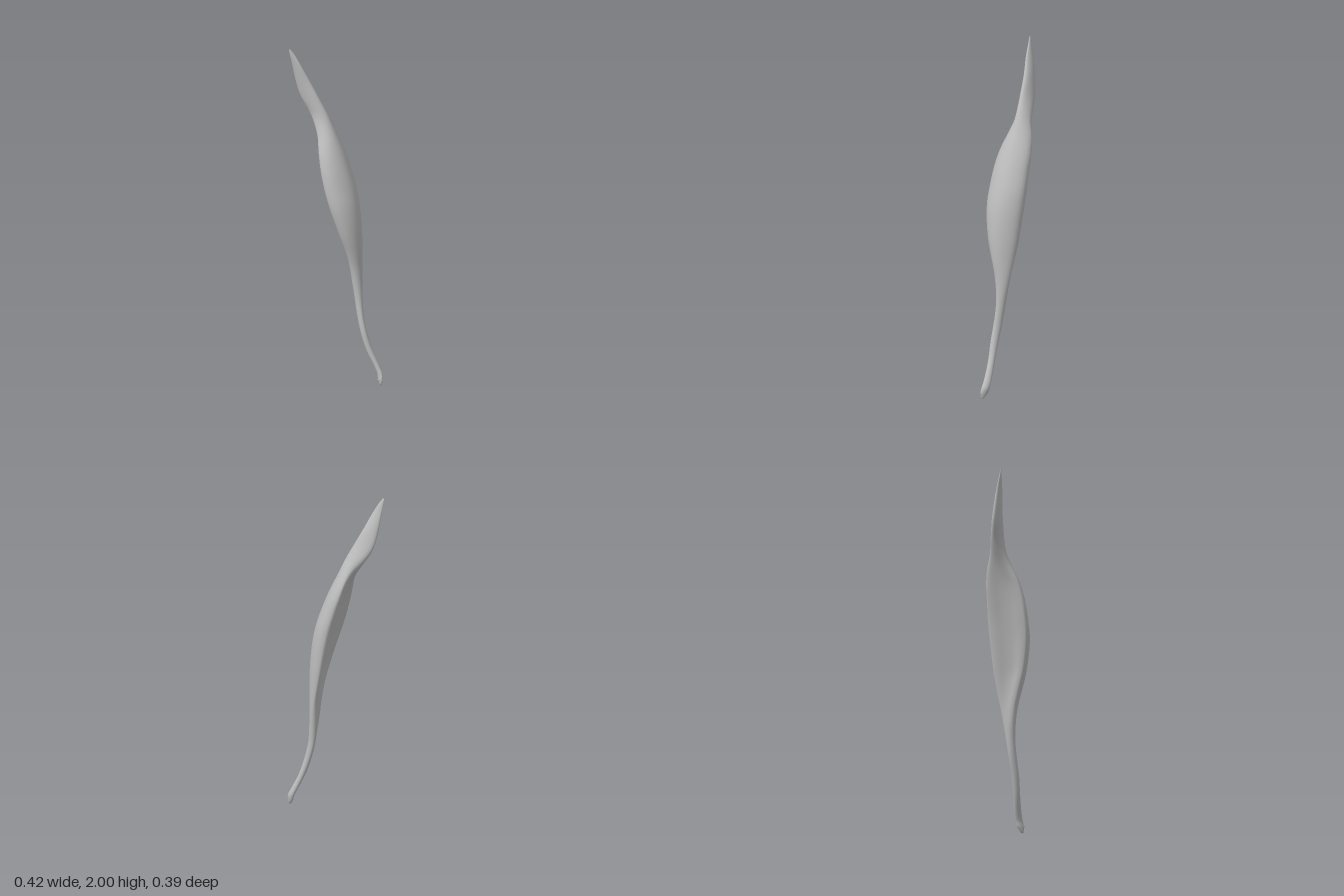
import * as THREE from 'three';

// Height, x range, z range, and how far the section is cupped (0 oval, 1 crescent)
const ROWS = [
  [0.0, 0.187, 0.199, 0.178, 0.192, 0],
  [0.03, 0.182, 0.207, 0.155, 0.198, 0],
  [0.06, 0.18, 0.21, 0.145, 0.192, 0],
  [0.1, 0.168, 0.2, 0.132, 0.176, 0],
  [0.2, 0.13, 0.167, 0.105, 0.144, 0],
  [0.3, 0.107, 0.143, 0.08, 0.125, 0],
  [0.4, 0.095, 0.131, 0.055, 0.105, 0],
  [0.5, 0.086, 0.132, 0.037, 0.091, 0.1],
  [0.6, 0.073, 0.137, 0.019, 0.089, 0.3],
  [0.7, 0.057, 0.14, 0.0, 0.096, 0.6],
  [0.8, 0.03, 0.141, -0.02, 0.11, 0.85],
  [0.9, -0.007, 0.141, -0.038, 0.12, 1],
  [1.0, -0.04, 0.138, -0.056, 0.122, 1],
  [1.1, -0.07, 0.132, -0.074, 0.114, 1],
  [1.2, -0.09, 0.12, -0.092, 0.092, 1],
  [1.3, -0.101, 0.097, -0.11, 0.065, 1],
  [1.4, -0.1, 0.07, -0.132, 0.03, 0.95],
  [1.5, -0.088, 0.033, -0.156, -0.01, 0.7],
  [1.6, -0.1, -0.01, -0.177, -0.05, 0.25],
  [1.7, -0.143, -0.058, -0.191, -0.09, 0],
  [1.8, -0.17, -0.102, -0.195, -0.12, 0],
  [1.9, -0.19, -0.15, -0.191, -0.143, 0],
  [1.97, -0.207, -0.184, -0.185, -0.165, 0],
  [2.0, -0.212, -0.205, -0.182, -0.175, 0],
];

// Cupped section inside a unit square: rounded front, hollow back
const CRESCENT = [
  [0, 0.74], [0.17, 0.95], [0.42, 1], [0.7, 0.91], [0.9, 0.7], [1, 0.4],
  [0.99, 0.15], [0.87, 0], [0.73, 0.1], [0.57, 0.33], [0.36, 0.52], [0.14, 0.61],
];
const SIDES = 36;
const STEPS = 92;

function ring([y, x0, x1, z0, z1, cup]) {
  // the tip is an oval stretched along the diagonal, the stem is round
  const skew = 0.75 * THREE.MathUtils.smoothstep(y, 1.2, 1.75);
  const points = CRESCENT.map(([cu, cv], i) => {
    const t = (i / CRESCENT.length) * Math.PI * 2;
    const u = THREE.MathUtils.lerp(0.5 - 0.5 * Math.cos(t), cu, cup);
    const v = THREE.MathUtils.lerp(0.5 + 0.5 * Math.sin(t - skew), cv, cup);
    return new THREE.Vector3(x0 + u * (x1 - x0), y, z0 + v * (z1 - z0));
  });
  return new THREE.CatmullRomCurve3(points, true).getPoints(SIDES).slice(0, SIDES);
}

function bodyGeometry() {
  const rings = ROWS.map(ring);
  const columns = [];
  for (let i = 0; i < SIDES; i++) {
    columns.push(new THREE.CatmullRomCurve3(rings.map((r) => r[i])).getPoints(STEPS));
  }
  const positions = [];
  const index = [];
  for (let j = 0; j <= STEPS; j++) {
    for (let i = 0; i < SIDES; i++) positions.push(...columns[i][j].toArray());
  }
  for (let j = 0; j < STEPS; j++) {
    for (let i = 0; i < SIDES; i++) {
      const n = (i + 1) % SIDES;
      const a = j * SIDES + i, b = j * SIDES + n;
      index.push(a, b, b + SIDES, a, b + SIDES, a + SIDES);
    }
  }
  // close both ends with a fan
  for (const j of [0, STEPS]) {
    const centre = new THREE.Vector3();
    columns.forEach((c) => centre.addScaledVector(c[j], 1 / SIDES));
    const c = positions.length / 3;
    positions.push(...centre.toArray());
    for (let i = 0; i < SIDES; i++) {
      const a = j * SIDES + i, b = j * SIDES + ((i + 1) % SIDES);
      if (j === 0) index.push(c, b, a);
      else index.push(c, a, b);
    }
  }
  const geometry = new THREE.BufferGeometry();
  geometry.setAttribute('position', new THREE.Float32BufferAttribute(positions, 3));
  geometry.setIndex(index);
  geometry.computeVertexNormals();
  return geometry;
}

export function createModel() {
  const group = new THREE.Group();
  group.name = 'leafShapedBand';
  const grey = new THREE.MeshStandardMaterial({ color: 0xbdbdbd });
  grey.name = 'paleGrey';

  const body = new THREE.Mesh(bodyGeometry(), grey);
  body.name = 'cuppedBody';
  group.add(body);

  // small frayed spur at the foot
  const spur = new THREE.Mesh(new THREE.ConeGeometry(0.01, 0.035, 10), grey);
  spur.name = 'footSpur';
  spur.position.set(0.184, 0.032, 0.188);
  spur.rotation.set(0.3, 0, 1.2);
  group.add(spur);
  return group;
}
